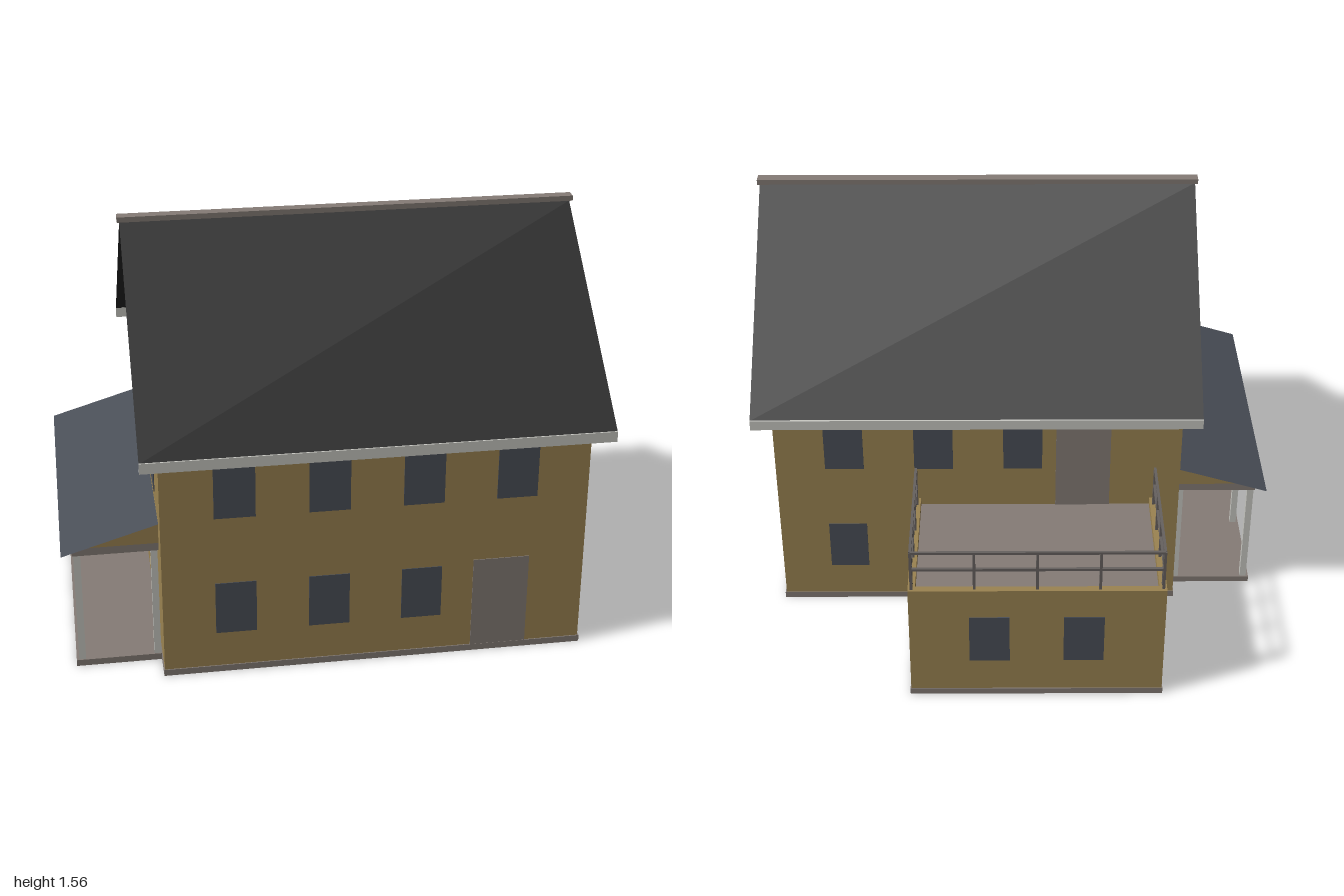
import * as THREE from 'three';

const mat = (name, color, side = THREE.FrontSide) => {
  const m = new THREE.MeshStandardMaterial({ color, side });
  m.name = name;
  return m;
};

export function createModel() {
  const wall = mat('ochre wall', 0x9b8351);
  const roofing = mat('black roofing', 0x262626, THREE.DoubleSide);
  const slate = mat('slate blue roofing', 0x4a4f58, THREE.DoubleSide);
  const glass = mat('window glass', 0x4a4f58);
  const stone = mat('warm grey', 0x857c76);
  const trim = mat('pale trim', 0xc8c8c2);
  const metal = mat('railing metal', 0x66615f);

  const house = new THREE.Group();
  house.name = 'house';
  const add = (name, geo, material, parent = house) => {
    const m = new THREE.Mesh(geo, material);
    m.name = name;
    parent.add(m);
    return m;
  };
  const group = (name) => {
    const g = new THREE.Group();
    g.name = name;
    house.add(g);
    return g;
  };
  // Box given by its limits on each axis
  const box = (name, [x0, x1], [y0, y1], [z0, z1], material, parent) => {
    const m = add(name, new THREE.BoxGeometry(x1 - x0, y1 - y0, z1 - z0), material, parent);
    m.position.set((x0 + x1) / 2, (y0 + y1) / 2, (z0 + z1) / 2);
    return m;
  };
  const shape = (pts) => new THREE.Shape(pts.map(([x, y]) => new THREE.Vector2(x, y)));
  const prism = (pts, depth) => new THREE.ExtrudeGeometry(shape(pts), { depth, bevelEnabled: false });
  // Flat four-cornered sheet
  const sheet = (a, b, c, d) => {
    const g = new THREE.BufferGeometry();
    g.setAttribute('position', new THREE.Float32BufferAttribute([...a, ...b, ...c, ...a, ...c, ...d], 3));
    g.computeVertexNormals();
    return g;
  };

  // Foundation slabs
  const base = group('foundation');
  box('houseSlab', [-0.65, 0.923], [0, 0.025], [-0.413, 0.914], stone, base);
  box('extensionSlab', [-0.562, 0.39], [0, 0.025], [-0.983, -0.41], stone, base);
  box('porchFloor', [-0.965, -0.645], [0, 0.025], [-0.32, 0.8], stone, base);

  // Main gabled body, profile across z, run along x
  const body = prism([[-0.91, 0.025], [0.41, 0.025], [0.41, 0.967], [-0.25, 1.53], [-0.91, 0.967]], 1.565);
  body.rotateY(Math.PI / 2);
  add('mainWalls', body, wall).position.x = -0.647;

  // Main roof sheets, eave boards and ridge cap
  const roof = group('mainRoof');
  const [rx0, rx1, ridgeY, eaveY] = [-0.715, 0.988, 1.534, 0.908];
  add('frontSlope', sheet([rx0, eaveY, 0.98], [rx1, eaveY, 0.98], [rx1, ridgeY, 0.25], [rx0, ridgeY, 0.25]), roofing, roof);
  add('backSlope', sheet([rx1, eaveY, -0.482], [rx0, eaveY, -0.482], [rx0, ridgeY, 0.25], [rx1, ridgeY, 0.25]), roofing, roof);
  box('frontEaveBoard', [rx0, rx1], [0.87, 0.91], [0.974, 0.983], trim, roof);
  box('backEaveBoard', [rx0, rx1], [0.87, 0.91], [-0.487, -0.478], trim, roof);
  box('ridgeCap', [-0.724, 0.995], [1.54, 1.56], [0.228, 0.272], stone, roof);

  // Rear extension with a sunken terrace behind a low rim
  const ext = group('rearExtension');
  const ey = [0.025, 0.495];
  box('leftWall', [0.36, 0.387], ey, [-0.979, -0.41], wall, ext);
  box('rightWall', [-0.559, -0.532], ey, [-0.979, -0.41], wall, ext);
  box('backWall', [-0.532, 0.36], ey, [-0.979, -0.952], wall, ext);
  box('terraceFloor', [-0.532, 0.36], [0.44, 0.465], [-0.952, -0.41], stone, ext);

  // Terrace railing on three sides
  const rail = group('terraceRailing');
  const t = 0.005;
  const xL = 0.374, xR = -0.546, zB = -0.965;
  for (const y of [0.585, 0.66]) {
    for (const x of [xL, xR]) box('sideRail', [x - t, x + t], [y - t, y + t], [zB, -0.445], metal, rail);
    box('backRail', [xR, xL], [y - t, y + t], [zB - t, zB + t], metal, rail);
  }
  const post = (x, z) => box('railPost', [x - t, x + t], [0.495, 0.662], [z - t, z + t], metal, rail);
  for (const x of [xL, xR]) for (const z of [-0.45, -0.613, -0.777, -0.94]) post(x, z);
  for (let i = 0; i <= 4; i++) post(xR + (xL - xR) * i / 4, zB);

  // Side porch: posts, beam layer, lean-to gable and roof sheet
  const porch = group('sidePorch');
  const pw = 0.0125;
  const porchPost = (x, z) => box('porchPost', [x - pw, x + pw], [0.025, 0.466], [z - pw, z + pw], trim, porch);
  for (const z of [-0.303, 0.06, 0.783]) porchPost(-0.943, z);
  for (const z of [-0.303, 0.783]) porchPost(-0.664, z);
  box('porchBeam', [-0.96, -0.645], [0.465, 0.495], [-0.32, 0.8], stone, porch);
  add('porchGable', prism([[-0.96, 0.495], [-0.645, 0.495], [-0.645, 0.59]], 1.12), wall, porch).position.z = -0.32;
  add('porchRoof', sheet([-1, 0.487, -0.36], [-1, 0.487, 0.84], [-0.648, 0.593, 0.84], [-0.648, 0.593, -0.36]), slate, porch);

  // Windows and doors as thin plates on the walls
  const openings = group('windowsAndDoors');
  const e = 0.003;
  const onZ = (name, x, z, w, y, m) => box(name, [x - w / 2, x + w / 2], y, [z - e, z + e], m, openings);
  const onX = (name, x, z, w, y, m) => box(name, [x - e, x + e], y, [z - w / 2, z + w / 2], m, openings);
  const low = [0.165, 0.372], high = [0.637, 0.845];
  const cols = [-0.38, -0.037, 0.307, 0.652];
  cols.forEach((x, i) => {
    onZ('frontWindow', x, 0.91, 0.15, high, glass);
    if (i < 3) onZ('frontWindow', x, 0.91, 0.15, low, glass);
    if (i > 0) onZ('backWindow', x, -0.41, 0.15, high, glass);
  });
  onZ('backWindow', 0.652, -0.41, 0.15, low, glass);
  onZ('frontDoor', 0.605, 0.91, 0.21, [0.025, 0.388], stone);
  onZ('terraceDoor', -0.27, -0.41, 0.21, [0.465, 0.845], stone);
  for (const z of [0.595, 0.25, -0.095]) {
    for (const y of [low, high]) {
      onX('leftWindow', 0.918, z, 0.153, y, glass);
      onX('rightWindow', -0.647, z, 0.153, y, glass);
    }
  }
  for (const x of [0.09, -0.26]) onZ('extensionBackWindow', x, -0.979, 0.15, low, glass);
  for (const x of [0.387, -0.559]) onX('extensionSideWindow', x, -0.694, 0.153, low, glass);

  return house;
}
